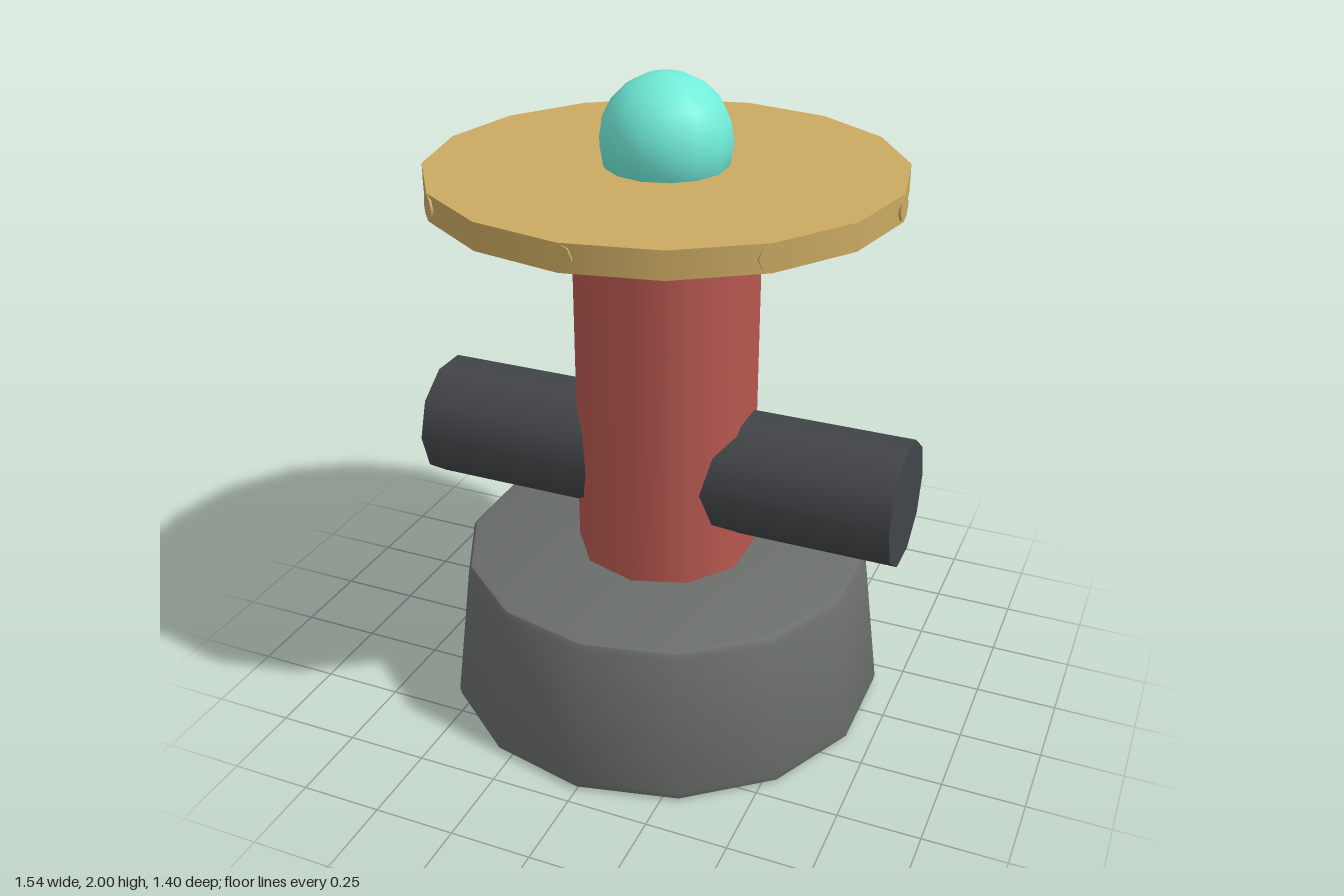
import * as THREE from 'three';
import { toCreasedNormals } from 'three/addons/utils/BufferGeometryUtils.js';

const material = (color) => new THREE.MeshStandardMaterial({ color });

export function createModel() {
  const model = new THREE.Group();
  model.name = 'toyTower';

  const add = (name, geometry, mat, y, parent = model) => {
    const mesh = new THREE.Mesh(geometry, mat);
    mesh.name = name;
    mesh.position.y = y;
    parent.add(mesh);
    return mesh;
  };

  // Tapered base with small bevels
  const profile = [
    [0, 0], [0.67, 0], [0.69, 0.008], [0.695, 0.03],
    [0.641, 0.468], [0.633, 0.484], [0.615, 0.49], [0, 0.49],
  ].map(([r, y]) => new THREE.Vector2(r, y));
  const base = toCreasedNormals(new THREE.LatheGeometry(profile, 14), 0.75);
  add('base', base, material(0x6a6e6a), 0);

  // Column
  add('column', new THREE.CylinderGeometry(0.28, 0.28, 1.14, 10), material(0xb85850), 1.055);

  // Crossbar, forming an arm on each side
  const bar = new THREE.CylinderGeometry(0.195, 0.195, 1.54, 10).rotateZ(Math.PI / 2);
  add('crossbar', bar, material(0x424548), 0.785);

  // Wheel: disc with spokes whose ends just reach the rim
  const wheel = new THREE.Group();
  wheel.name = 'wheel';
  wheel.position.y = 1.695;
  model.add(wheel);
  const gold = material(0xcaa962);
  add('disc', new THREE.CylinderGeometry(0.7, 0.7, 0.08, 16), gold, 0, wheel);
  const spoke = new THREE.CylinderGeometry(0.039, 0.039, 1.4, 8).rotateX(Math.PI / 2);
  for (let i = 0; i < 4; i++) {
    add('spoke', spoke, gold, 0, wheel).rotation.y = (i * Math.PI) / 4;
  }

  // Ball on top
  const ball = new THREE.SphereGeometry(0.195, 14, 10).rotateY(Math.PI / 2);
  add('ball', ball, material(0x70ecd8), 1.805);

  return model;
}
